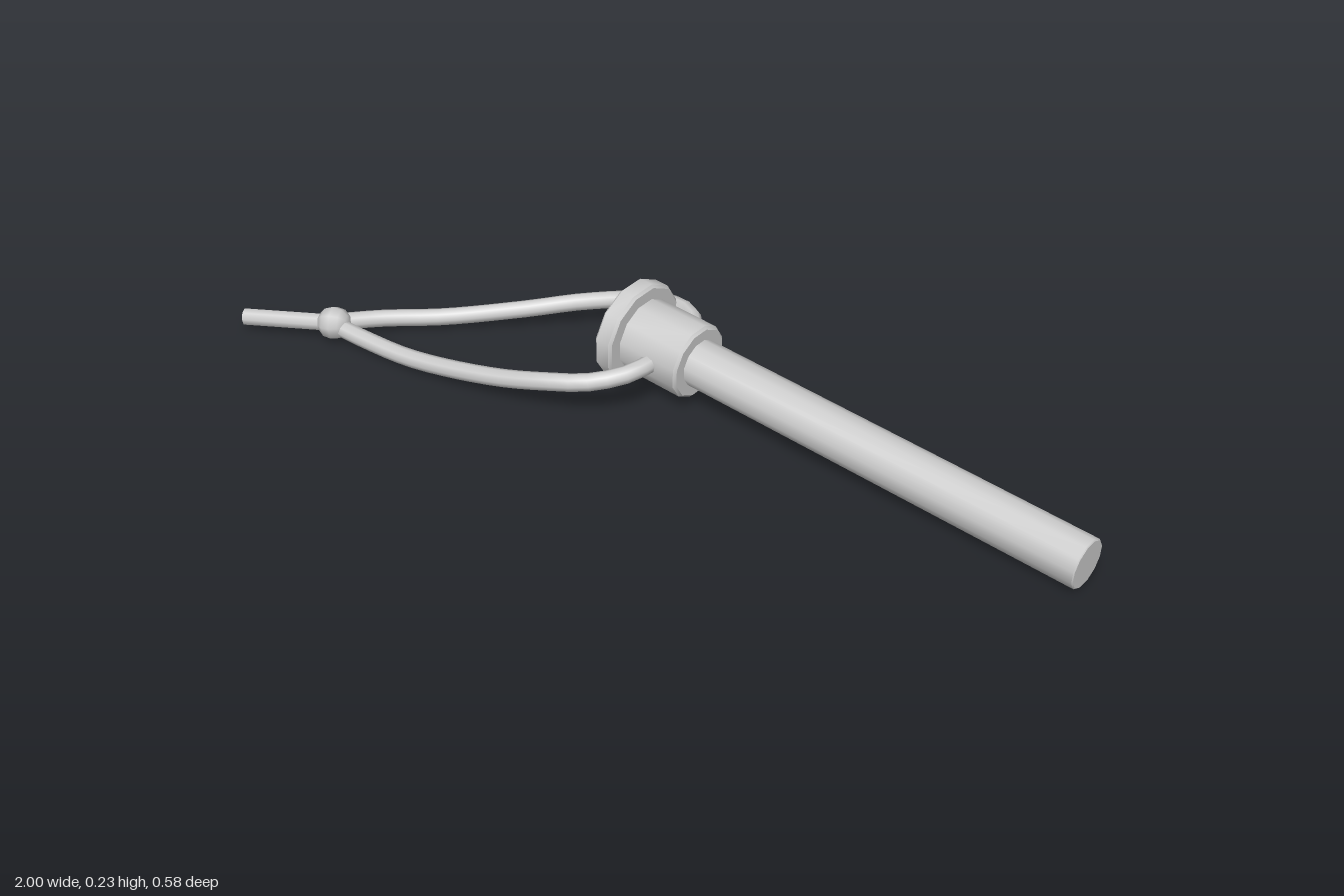
import * as THREE from 'three';
import { toCreasedNormals } from 'three/addons/utils/BufferGeometryUtils.js';

const V = (x, y, z) => new THREE.Vector3(x, y, z);
const UP = V(0, 1, 0);

export function createModel() {
  const group = new THREE.Group();
  const material = new THREE.MeshStandardMaterial({ color: 0xcccccc });
  const add = (parent, geometry, name) => {
    const mesh = new THREE.Mesh(geometry, material);
    mesh.name = name;
    parent.add(mesh);
    return mesh;
  };
  // Twelve-sided drum with small chamfers, running from a to b along y
  const drum = (radius, a, b, c) => {
    const profile = [[0, a], [radius - c, a], [radius, a + c], [radius, b - c], [radius - c, b], [0, b]];
    const lathe = new THREE.LatheGeometry(profile.map(([r, y]) => new THREE.Vector2(r, y)), 12);
    return toCreasedNormals(lathe, 0.6);
  };

  // Pin: head, collar and shaft share one tilted axis
  const start = V(-0.113, 0.123, -0.115), end = V(0.981, 0.058, 0.236);
  const axis = end.clone().sub(start);
  const length = axis.length();
  const pin = new THREE.Group();
  pin.name = 'pin';
  pin.position.copy(start);
  pin.quaternion.setFromUnitVectors(UP, axis.normalize());
  group.add(pin);
  add(pin, drum(0.117, 0, 0.045, 0.006), 'head');
  add(pin, drum(0.085, 0.04, 0.2, 0.006), 'collar');
  add(pin, drum(0.054, 0.19, length, 0.002), 'shaft');

  // Cord loop threaded through the collar and gathered at the knot
  const loop = new THREE.CatmullRomCurve3([
    V(-0.79, 0.045, 0.015), V(-0.7, 0.037, -0.055), V(-0.58, 0.032, -0.12), V(-0.41, 0.05, -0.195),
    V(-0.28, 0.07, -0.25), V(-0.14, 0.095, -0.273), V(-0.04, 0.113, -0.245), V(0.012, 0.115, -0.19),
    V(0.02, 0.106, -0.13), V(0.002, 0.114, -0.07), V(-0.018, 0.117, 0), V(-0.05, 0.11, 0.045),
    V(-0.12, 0.097, 0.085), V(-0.21, 0.085, 0.1), V(-0.34, 0.06, 0.094), V(-0.56, 0.032, 0.062),
    V(-0.7, 0.036, 0.036), V(-0.79, 0.045, 0.018),
  ]);
  add(group, new THREE.TubeGeometry(loop, 48, 0.02, 8), 'cordLoop');

  // Knot and the cord tail beyond it
  const knotCentre = V(-0.783, 0.047, 0.018), tailEnd = V(-0.998, 0.032, 0.052);
  const tailAxis = knotCentre.clone().sub(tailEnd);
  const tail = add(group, new THREE.CylinderGeometry(0.02, 0.02, tailAxis.length(), 8), 'cordTail');
  tail.position.copy(knotCentre).add(tailEnd).multiplyScalar(0.5);
  tail.quaternion.setFromUnitVectors(UP, tailAxis.normalize());
  const knot = add(group, new THREE.SphereGeometry(0.039, 8, 6), 'knot');
  knot.position.copy(knotCentre);
  knot.quaternion.copy(tail.quaternion);

  return group;
}
